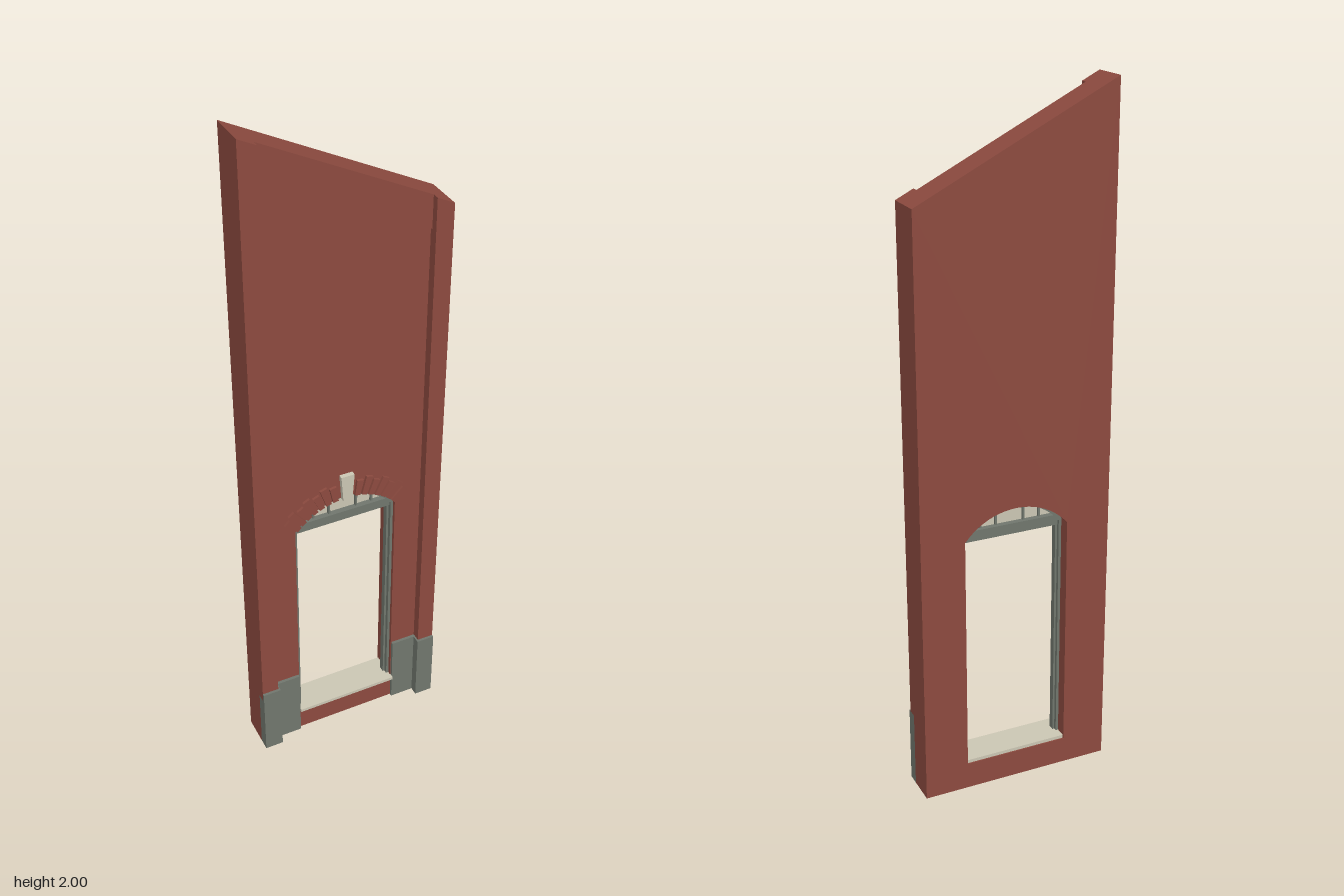
import * as THREE from 'three';

const mat = (name, color) => {
  const m = new THREE.MeshStandardMaterial({ color });
  m.name = name;
  return m;
};

// Opening: a segmental arch on straight jambs
const HALF = 0.155, SILL = 0.08, SPRING = 0.79, RISE = 0.075;
const R = (HALF * HALF + RISE * RISE) / (2 * RISE);
const CY = SPRING + RISE - R;
const roofY = (x) => 1.8575 - 0.5 * x; // sloping top edge

const poly = (pts) => new THREE.Shape(pts.map(([x, y]) => new THREE.Vector2(x, y)));

// Points along an arch of radius r, left to right, ending where it meets height y
function archPoints(r, y, n = 20) {
  const a = Math.acos((y - CY) / r);
  return Array.from({ length: n + 1 }, (_, i) => {
    const t = -a + (2 * a * i) / n;
    return [r * Math.sin(t), CY + r * Math.cos(t)];
  });
}

export function createModel() {
  const root = new THREE.Group();
  root.name = 'wallPanel';
  const brick = mat('brick red', 0x8c4a3f);
  const stone = mat('grey stone', 0x70766d);
  const cream = mat('cream stone', 0xcbc6b3);

  const add = (name, geometry, material) => {
    const mesh = new THREE.Mesh(geometry, material);
    mesh.name = name;
    root.add(mesh);
    return mesh;
  };
  const slab = (name, shape, z0, z1, material) => {
    const g = new THREE.ExtrudeGeometry(shape, { depth: z1 - z0, bevelEnabled: false });
    g.translate(0, 0, z0);
    return add(name, g, material);
  };
  const box = (name, x0, x1, y0, y1, z0, z1, material) => {
    const g = new THREE.BoxGeometry(x1 - x0, y1 - y0, z1 - z0);
    g.translate((x0 + x1) / 2, (y0 + y1) / 2, (z0 + z1) / 2);
    return add(name, g, material);
  };
  // Strip with a sloping top and optionally sloping bottom
  const sloped = (x0, x1, bottom0, bottom1) =>
    poly([[x0, bottom0], [x1, bottom1], [x1, roofY(x1)], [x0, roofY(x0)]]);

  // Main wall with the arched opening
  const wall = sloped(-0.285, 0.285, 0, 0);
  wall.holes.push(poly([[-HALF, SILL], ...archPoints(R, SPRING), [HALF, SILL]]));
  slab('wall', wall, -0.06, 0.025, brick);

  // Raised band under the sloping top
  slab('topBand', sloped(-0.235, 0.235, roofY(-0.235) - 0.095, roofY(0.235) - 0.095), 0.025, 0.032, brick);

  // Pilasters, plinths and frame jambs on both sides
  for (const s of [-1, 1]) {
    const side = s < 0 ? 'right' : 'left';
    const span = (a, b) => (s < 0 ? [-b, -a] : [a, b]);
    const [p0, p1] = span(0.235, 0.285);
    slab(side + 'Pilaster', sloped(p0, p1, 0.2, 0.2), 0.025, 0.052, brick);
    box(side + 'OuterPlinth', ...span(0.23, 0.285), 0, 0.23, 0.025, 0.06, stone);
    box(side + 'InnerPlinth', ...span(0.157, 0.23), 0, 0.23, 0.025, 0.034, stone);
    box(side + 'JambOuter', ...span(0.147, HALF), SILL, SPRING, -0.025, 0.015, stone);
    box(side + 'JambInner', ...span(0.141, 0.148), SILL, SPRING, -0.015, 0.003, stone);
  }

  // Sill
  box('sill', -HALF, HALF, SILL, 0.09, -0.056, 0.025, cream);
  box('sillNose', -0.157, 0.157, SILL, 0.09, 0.025, 0.04, cream);

  // Transom in two steps
  box('transomUpper', -HALF, HALF, 0.785, 0.803, -0.025, 0.015, stone);
  box('transomLower', -0.148, 0.148, 0.768, 0.786, -0.018, 0.008, stone);

  // Fanlight: arched frame, panel and glazing bars
  const inner = R - 0.01;
  slab('fanlightFrame', poly([
    ...archPoints(R, SPRING), ...archPoints(inner, SPRING).reverse(),
  ]), -0.025, 0.015, stone);
  slab('fanlightPanel', poly(archPoints(inner + 0.002, 0.8)), -0.008, -0.002, cream);
  for (const x of [-0.09, -0.042, 0.042, 0.09]) {
    const top = CY + Math.sqrt(inner * inner - x * x);
    box('glazingBar', x - 0.003, x + 0.003, 0.8, top, -0.015, 0.006, stone);
  }

  // Arch bricks fanning out either side of the keystone
  const count = 7, from = 0.115, to = 0.88;
  const step = (to - from) / count;
  for (const s of [-1, 1]) {
    for (let i = 0; i < count; i++) {
      const a = s * (from + step * (i + 0.12)), b = s * (from + step * (i + 0.88));
      const outer = R + (i % 2 ? 0.06 : 0.05);
      const at = (r, t) => [r * Math.sin(t), CY + r * Math.cos(t)];
      slab('archBrick', poly([at(R, a), at(outer, a), at(outer, b), at(R, b)]), 0.025, 0.033, brick);
    }
  }

  // Keystone
  slab('keystone', poly([[-0.014, 0.862], [0.014, 0.862], [0.02, 0.945], [-0.02, 0.945]]), 0.024, 0.039, cream);

  return root;
}
